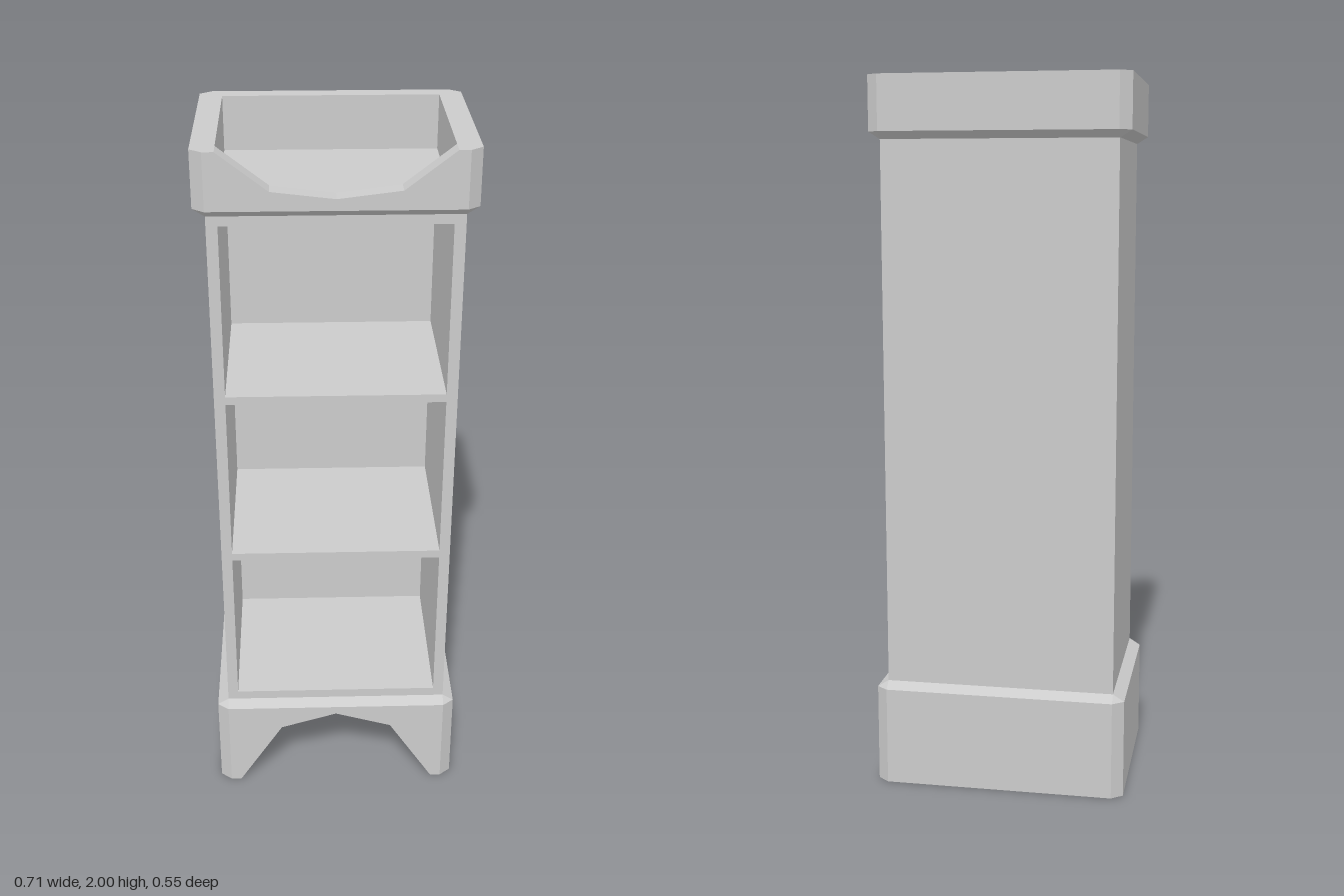
import * as THREE from 'three';
import { ConvexGeometry } from 'three/addons/geometries/ConvexGeometry.js';

const BODY = { x: 0.325, z: 0.25 };      // half sizes of the cabinet body
const RIM = { x: 0.357, z: 0.275 };      // half sizes of plinth and crown
const INNER = { x: 0.295, z: 0.225 };    // half sizes of all hollows

const material = new THREE.MeshStandardMaterial({ color: 0xcccccc, flatShading: true });

function part(name, geometry) {
  const mesh = new THREE.Mesh(geometry, material);
  mesh.name = name;
  return mesh;
}

const shapeOf = (points) => new THREE.Shape(points.map(([x, y]) => new THREE.Vector2(x, y)));

// Adds the x-mirrored points in reverse order, closing a symmetric outline
const mirrored = (half) => [...half, ...half.slice().reverse().filter(([x]) => x !== 0).map(([x, y]) => [-x, y])];

// Extrudes an outline between two depths along z
function extrudeZ(shape, z0, z1) {
  const g = new THREE.ExtrudeGeometry(shape, { depth: z1 - z0, bevelEnabled: false });
  return g.translate(0, 0, z0);
}

// Rim with chamfered corners, hollow inside, with a cut-out front board
function rimBand(name, y0, y1, frontHalf) {
  const group = new THREE.Group();
  group.name = name;

  // Back and side walls, drawn in plan (shape y = -z)
  const walls = shapeOf(mirrored([
    [INNER.x, INNER.z], [INNER.x, -INNER.z], [BODY.x, -INNER.z], [BODY.x, -RIM.z],
    [RIM.x, -BODY.z], [RIM.x, BODY.z], [BODY.x, RIM.z],
  ]));
  const wallGeometry = new THREE.ExtrudeGeometry(walls, { depth: y1 - y0, bevelEnabled: false });
  wallGeometry.rotateX(-Math.PI / 2).translate(0, y0, 0);
  group.add(part(name + 'Walls', wallGeometry));

  group.add(part(name + 'FrontBoard', extrudeZ(shapeOf(mirrored(frontHalf)), INNER.z, RIM.z)));
  return group;
}

// Sloping moulding from the chamfered rim outline to the body outline
function moulding(name, rimY, bodyY) {
  const points = [];
  for (const sx of [-1, 1]) for (const sz of [-1, 1]) {
    points.push(
      new THREE.Vector3(sx * RIM.x, rimY, sz * BODY.z),
      new THREE.Vector3(sx * BODY.x, rimY, sz * RIM.z),
      new THREE.Vector3(sx * BODY.x, bodyY, sz * BODY.z),
    );
  }
  return part(name, new ConvexGeometry(points));
}

export function createModel() {
  const model = new THREE.Group();
  model.name = 'bookcase';

  // Plinth with arched front
  model.add(rimBand('plinth', 0, 0.28, [
    [0, 0.255], [0.165, 0.205], [INNER.x, 0], [BODY.x, 0], [BODY.x, 0.28],
  ]));
  model.add(moulding('plinthMoulding', 0.28, 0.3));

  // Body with three open compartments
  const frame = shapeOf([[-BODY.x, 0.3], [BODY.x, 0.3], [BODY.x, 1.83], [-BODY.x, 1.83]]);
  for (let i = 0; i < 3; i++) {
    const y0 = 0.327 + i * 0.5, y1 = y0 + 0.477;
    frame.holes.push(shapeOf([[-INNER.x, y0], [-INNER.x, y1], [INNER.x, y1], [INNER.x, y0]]));
  }
  model.add(part('shelfFrame', extrudeZ(frame, -INNER.z, BODY.z)));

  const back = new THREE.BoxGeometry(BODY.x * 2, 1.53, BODY.z - INNER.z);
  back.translate(0, 1.065, -(BODY.z + INNER.z) / 2);
  model.add(part('backPanel', back));

  // Crown tray with scooped front
  model.add(moulding('crownMoulding', 1.85, 1.83));
  model.add(rimBand('crown', 1.85, 2, [
    [0, 1.85], [BODY.x, 1.85], [BODY.x, 2], [INNER.x, 2], [0.165, 1.9], [0, 1.88],
  ]));

  return model;
}
